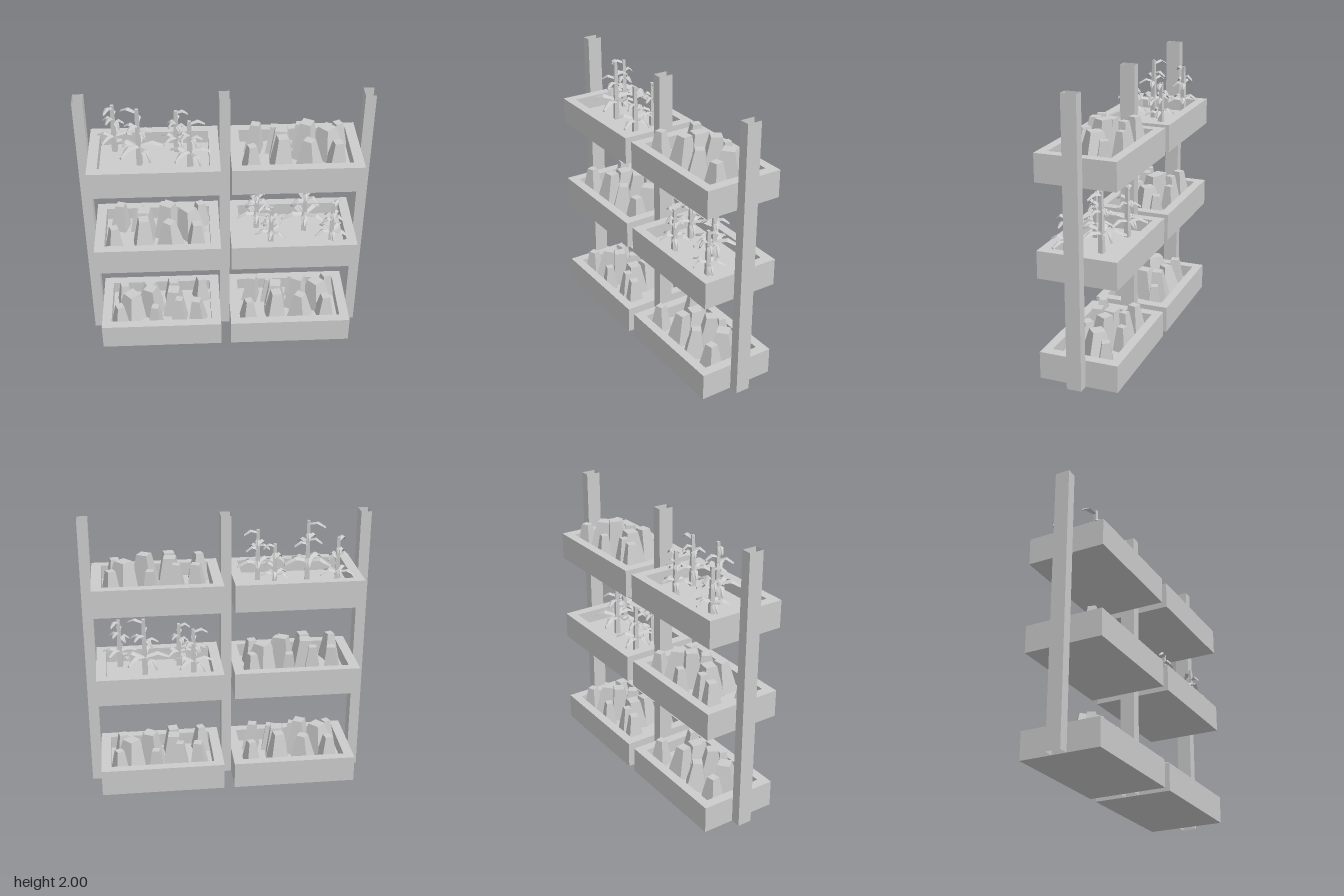
import * as THREE from 'three';

const material = new THREE.MeshStandardMaterial({ color: 0xcccccc, flatShading: true });
const thin = new THREE.MeshStandardMaterial({ color: 0xcccccc, flatShading: true, side: THREE.DoubleSide });
const rad = THREE.MathUtils.degToRad;

const TRAY = { w: 0.89, d: 0.565, h: 0.195, wall: 0.065, floor: 0.1 };

function add(parent, name, geometry, mat = material) {
  const mesh = new THREE.Mesh(geometry, mat);
  mesh.name = name;
  parent.add(mesh);
  return mesh;
}

// Hollow square post, open at both ends
function makePost(x) {
  const g = new THREE.CylinderGeometry(Math.SQRT1_2, Math.SQRT1_2, 2, 4, 1, true);
  g.rotateY(Math.PI / 4).scale(0.073, 1, 0.105).translate(x, 1, 0);
  return new THREE.Mesh(g, thin);
}

function rectangle(path, w, d) {
  path.moveTo(-w / 2, -d / 2);
  path.lineTo(w / 2, -d / 2);
  path.lineTo(w / 2, d / 2);
  path.lineTo(-w / 2, d / 2);
  path.closePath();
  return path;
}

// Planter tray: a rectangular frame with a sunken floor
function makeTray() {
  const tray = new THREE.Group();
  const iw = TRAY.w - TRAY.wall * 2 - 0.01, id = TRAY.d - TRAY.wall * 2;
  const outline = rectangle(new THREE.Shape(), TRAY.w, TRAY.d);
  outline.holes.push(rectangle(new THREE.Path(), iw, id));
  const frame = new THREE.ExtrudeGeometry(outline, { depth: TRAY.h, bevelEnabled: false });
  add(tray, 'trayFrame', frame.rotateX(-Math.PI / 2));
  add(tray, 'trayFloor', new THREE.BoxGeometry(iw, TRAY.floor, id).translate(0, TRAY.floor / 2, 0));
  return tray;
}

// Rocks: x, z, base radius, top radius, height, turn in degrees, lean x, lean z
const ROCKS = [
  [-0.275, -0.122, 0.084, 0.042, 0.205, -16, 0.01, 0],
  [-0.135, -0.1, 0.078, 0.036, 0.2, -12, 0, 0],
  [0.045, -0.155, 0.068, 0.036, 0.18, -14, 0, 0],
  [0.31, -0.145, 0.076, 0.038, 0.185, 24, 0, 0],
  [-0.095, -0.01, 0.108, 0.058, 0.225, -8, 0, -0.01],
  [0.07, -0.02, 0.105, 0.055, 0.26, -28, 0.01, -0.02],
  [0.225, -0.045, 0.132, 0.062, 0.215, 42, -0.005, 0],
  [-0.1, 0.105, 0.098, 0.05, 0.225, 8, 0.005, -0.02],
  [0.09, 0.105, 0.102, 0.045, 0.2, -35, -0.005, -0.015],
  [0.275, 0.1, 0.084, 0.042, 0.185, 10, 0.005, 0],
  [-0.305, 0.135, 0.08, 0.038, 0.195, 18, 0, 0],
];

function makeRocks() {
  const rocks = new THREE.Group();
  for (const [x, z, rBase, rTop, h, turn, lx, lz] of ROCKS) {
    const g = new THREE.CylinderGeometry(rTop, rBase, h, 4);
    g.rotateY(Math.PI / 4 + rad(turn)).translate(0, h / 2, 0);
    // Lean the top sideways
    g.applyMatrix4(new THREE.Matrix4().set(1, lx / h, 0, 0, 0, 1, 0, 0, 0, lz / h, 1, 0, 0, 0, 0, 1));
    add(rocks, 'rock', g.translate(x, TRAY.floor, z));
  }
  return rocks;
}

// Leaf along +x: ridged cross-sections that rise, then droop towards the tip
function leafGeometry(length) {
  const sections = [[0, 0, 0.1], [0.55, 0.14, 0.17], [1, -0.1, 0.06]]; // along, up, half width
  const pos = [], index = [];
  for (const [x, y, w] of sections) {
    pos.push(x, y, -w, x, y + 0.09, 0, x, y, w, x, y - 0.02, 0);
  }
  for (let s = 0; s < sections.length - 1; s++) {
    for (let i = 0; i < 4; i++) {
      const a = s * 4 + i, b = s * 4 + (i + 1) % 4;
      index.push(a, b, b + 4, a, b + 4, a + 4);
    }
  }
  const n = (sections.length - 1) * 4;
  index.push(n, n + 1, n + 2, n, n + 2, n + 3);
  const g = new THREE.BufferGeometry();
  g.setAttribute('position', new THREE.Float32BufferAttribute(pos, 3));
  g.setIndex(index);
  g.computeVertexNormals();
  return g.scale(length, length < 0.12 ? 0.13 : length, Math.max(length, 0.12));
}

// Plants: x, z, height, leaf length, first leaf angle, direction of the top leaf
const PLANTS = [
  [-0.275, -0.145, 0.365, 0.125, 15, 3],
  [-0.1, 0.03, 0.435, 0.17, 10, 2],
  [0.155, -0.12, 0.325, 0.115, 5, 0],
  [0.245, 0.08, 0.365, 0.145, 10, 0],
];
// Whorl leaves: step round the stem, height fraction, length fraction
const LEAVES = [
  [0, 0.32, 1], [1, 0.36, 0.9], [2, 0.31, 1], [3, 0.33, 1], [4, 0.29, 1],
  [0, 0.6, 0.6], [2, 0.66, 0.6], [3, 0.7, 0.6], [4, 0.62, 0.65], [1, 0.76, 0.55],
];

function makePlants() {
  const plants = new THREE.Group();
  for (const [x, z, h, length, start, top] of PLANTS) {
    const plant = new THREE.Group();
    plant.name = 'plant';
    plant.position.set(x, TRAY.floor, z);
    const stem = new THREE.CylinderGeometry(0.015, 0.026, h, 4);
    add(plant, 'stem', stem.rotateY(0.6).translate(0, h / 2, 0));
    for (const [step, up, size] of [...LEAVES, [top, 0.93, 0.72]]) {
      const leaf = add(plant, 'leaf', leafGeometry(length * size), thin);
      leaf.position.y = h * up;
      leaf.rotation.y = rad(start + step * 72);
    }
    plants.add(plant);
  }
  return plants;
}

export function createModel() {
  const model = new THREE.Group();
  model.name = 'verticalPlanter';
  for (const x of [-0.9635, 0, 0.9635]) {
    const post = makePost(x);
    post.name = 'post';
    model.add(post);
  }
  // Three levels of two trays: x, y, contents, half turn
  const trays = [
    [-1, 0, makeRocks, true], [1, 0, makeRocks, false],
    [-1, 0.73, makeRocks, false], [1, 0.73, makePlants, true],
    [-1, 1.39, makePlants, false], [1, 1.39, makeRocks, false],
  ];
  for (const [side, y, fill, turned] of trays) {
    const tray = makeTray();
    tray.name = 'planterTray';
    tray.position.set(side * 0.482, y, 0);
    const contents = fill();
    contents.name = fill === makeRocks ? 'rocks' : 'plants';
    if (turned) contents.rotation.y = Math.PI;
    tray.add(contents);
    model.add(tray);
  }
  return model;
}
